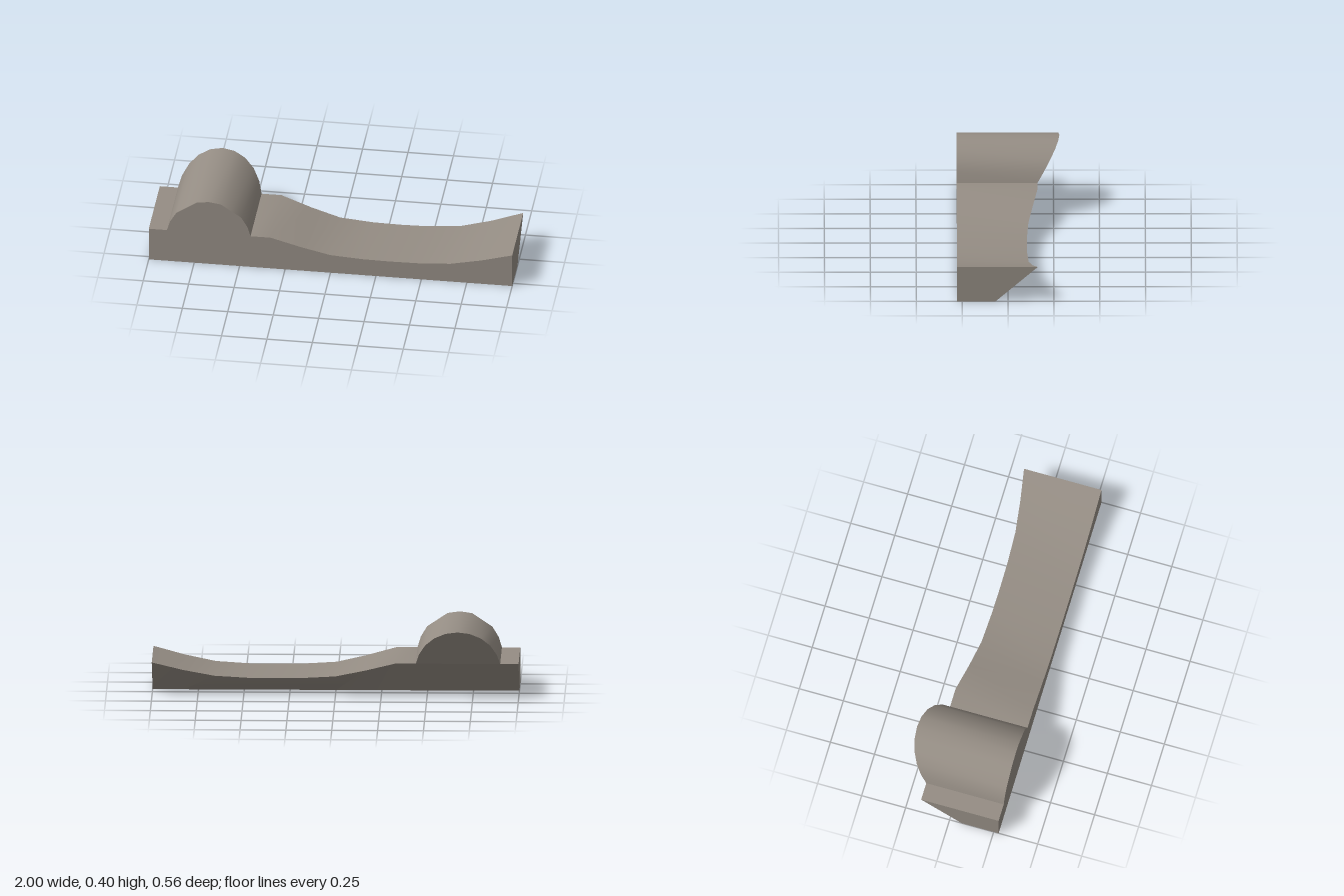
import * as THREE from 'three';
import { toCreasedNormals } from 'three/addons/utils/BufferGeometryUtils.js';

const FRONT = 0.278, HEEL = 0.068, SHELF = 0.197;

// The back leans outwards with height
const backZ = (y) => -0.162 + 0.6 * (SHELF - y);
const frontPoint = ([x, y]) => [x, y, FRONT];
const backPoint = ([x, y]) => [x, y, backZ(y)];

function meshFromFaces(name, faces, material) {
  const positions = [];
  for (const f of faces) {
    for (let i = 1; i < f.length - 1; i++) positions.push(...f[0], ...f[i], ...f[i + 1]);
  }
  const geometry = new THREE.BufferGeometry();
  geometry.setAttribute('position', new THREE.Float32BufferAttribute(positions, 3));
  const mesh = new THREE.Mesh(toCreasedNormals(geometry, 0.6), material);
  mesh.name = name;
  return mesh;
}

export function createModel() {
  const group = new THREE.Group();
  group.name = 'curvedBlock';
  const stone = new THREE.MeshStandardMaterial({ color: 0x958d84 });
  stone.name = 'warm grey';

  // Base: flat shelf on the left, shallow hollow on the right
  const profile = [
    [-1, SHELF], [-0.9, SHELF], [-0.44, SHELF], [-0.33, SHELF], [-0.16, 0.15], [0, 0.113],
    [0.18, 0.102], [0.33, 0.1], [0.48, 0.102], [0.66, 0.114], [0.83, 0.15], [1, SHELF],
  ];
  const faces = [];
  for (let i = 0; i < profile.length - 1; i++) {
    const a = profile[i], b = profile[i + 1];
    const fa = [a[0], 0, FRONT], fb = [b[0], 0, FRONT];
    const ba = [a[0], 0, HEEL], bb = [b[0], 0, HEEL];
    faces.push([fa, fb, frontPoint(b), frontPoint(a)]); // front
    faces.push([bb, ba, backPoint(a), backPoint(b)]); // undercut back
    faces.push([ba, bb, fb, fa]); // underside
    if (i !== 1) faces.push([frontPoint(a), frontPoint(b), backPoint(b), backPoint(a)]); // top
  }
  const l = profile[0], r = profile[profile.length - 1];
  faces.push([[-1, 0, HEEL], [-1, 0, FRONT], frontPoint(l), backPoint(l)]);
  faces.push([[1, 0, FRONT], [1, 0, HEEL], backPoint(r), frontPoint(r)]);
  group.add(meshFromFaces('base', faces, stone));

  // Round roll across the shelf, cut at a slant behind
  const arc = [[-0.9, SHELF]];
  for (let i = 0; i <= 8; i++) {
    const t = Math.PI * (0.875 - i * 0.75 / 8);
    arc.push([-0.67 + 0.23 * Math.cos(t), 0.167 + 0.23 * Math.sin(t)]);
  }
  arc.push([-0.44, SHELF]);

  // The front rim is chipped straight at two points
  const rim = arc.map((p) => [...p]);
  for (const i of [3, 7]) {
    rim[i] = [(arc[i - 1][0] + arc[i + 1][0]) / 2, (arc[i - 1][1] + arc[i + 1][1]) / 2];
  }
  const rollFaces = [rim.map(frontPoint).reverse(), arc.map(backPoint)];
  for (let i = 0; i < arc.length - 1; i++) {
    rollFaces.push([frontPoint(rim[i]), frontPoint(rim[i + 1]), backPoint(arc[i + 1]), backPoint(arc[i])]);
  }
  group.add(meshFromFaces('roll', rollFaces, stone));

  return group;
}
